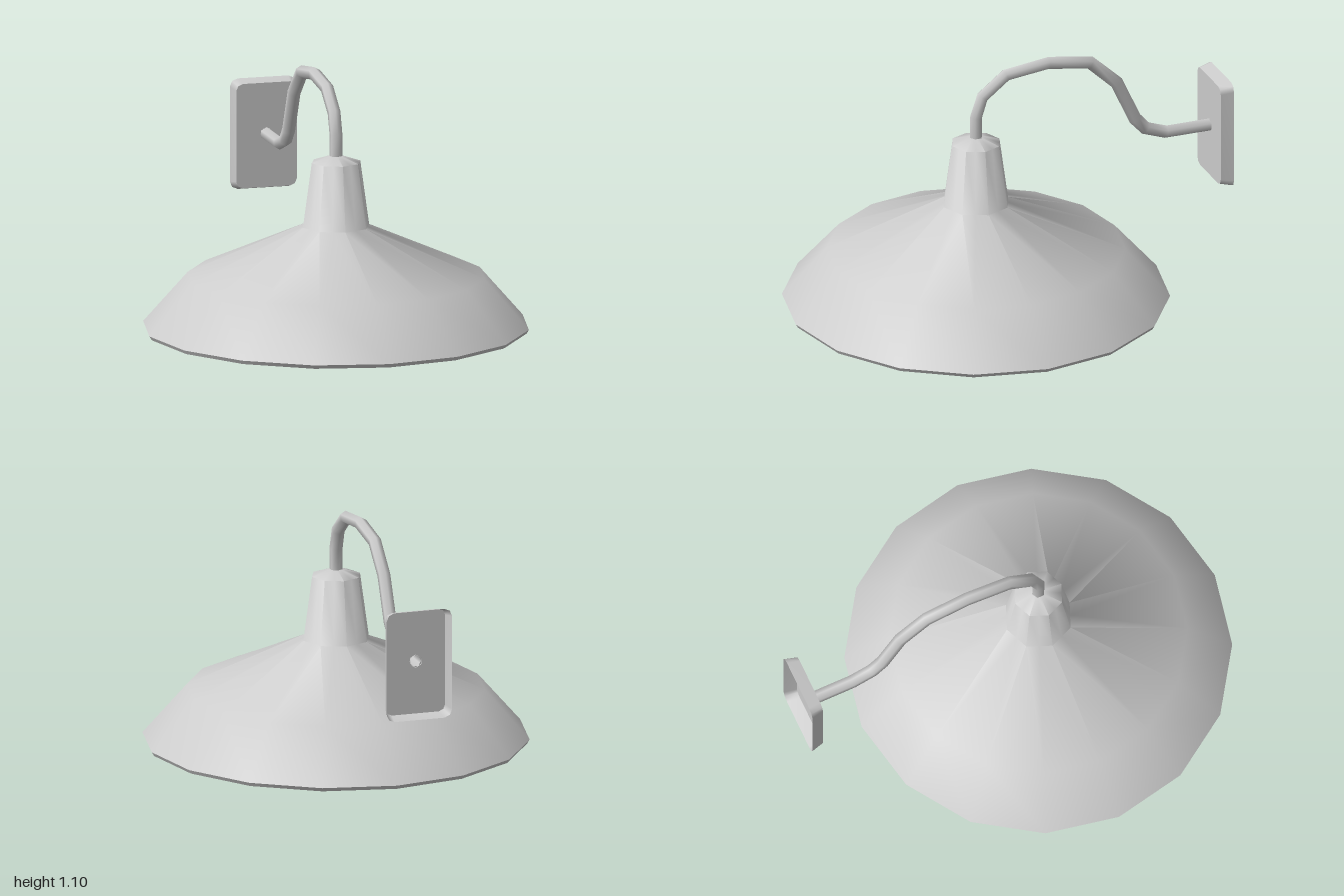
import * as THREE from 'three';
import { mergeVertices, toCreasedNormals } from 'three/addons/utils/BufferGeometryUtils.js';

const material = new THREE.MeshStandardMaterial({ color: 0xcccccc, side: THREE.DoubleSide });
const SHADE_Z = 0.15;

function addMesh(parent, name, geometry) {
  const mesh = new THREE.Mesh(geometry, material);
  mesh.name = name;
  parent.add(mesh);
  return mesh;
}

// Lathe with welded seam and smooth normals, creased above the given angle
function lathe(profile, sides, crease, reshape) {
  let g = new THREE.LatheGeometry(profile.map(([r, y]) => new THREE.Vector2(r, y)), sides);
  if (reshape) reshape(g.attributes.position, profile.length);
  g.deleteAttribute('uv');
  g.deleteAttribute('normal');
  g = mergeVertices(g, 1e-4);
  return toCreasedNormals(g, crease);
}

// Curve that keeps the exact corners of a polyline when swept
class Polyline extends THREE.Curve {
  constructor(points) {
    super();
    this.points = points;
  }
  getPointAt(u, target = new THREE.Vector3()) {
    return target.copy(this.points[Math.round(u * (this.points.length - 1))]);
  }
  getTangentAt(u, target = new THREE.Vector3()) {
    const p = this.points, n = p.length - 1, i = Math.round(u * n);
    target.set(0, 0, 0);
    if (i > 0) target.add(p[i].clone().sub(p[i - 1]).normalize());
    if (i < n) target.add(p[i + 1].clone().sub(p[i]).normalize());
    return target.normalize();
  }
}

// Rectangle with cut corners, counter-clockwise
function cutRectangle(hw, hh, c) {
  return [
    [hw - c, -hh], [hw - c * 0.3, -hh + c * 0.3], [hw, -hh + c],
    [hw, hh - c], [hw - c * 0.3, hh - c * 0.3], [hw - c, hh],
    [-hw + c, hh], [-hw + c * 0.3, hh - c * 0.3], [-hw, hh - c],
    [-hw, -hh + c], [-hw + c * 0.3, -hh + c * 0.3], [-hw + c, -hh],
  ].map(([x, y]) => new THREE.Vector2(x, y));
}

export function createModel() {
  const lamp = new THREE.Group();
  lamp.name = 'wallLamp';

  // Shade: inner skin down, round the rim, outer skin up to the neck cap.
  // The rim has sixteen sides; the neck is flattened to eight.
  const shadeProfile = [
    [0, 0.745], [0.095, 0.72], [0.135, 0.45], [0.64, 0.225], [0.835, 0],
    [0.845, 0.017], [0.65, 0.24], [0.15, 0.46], [0.11, 0.745], [0.03, 0.772], [0, 0.772],
  ];
  const flatten = Math.cos(Math.PI / 8);
  const shade = lathe(shadeProfile, 16, 1.1, (pos, rows) => {
    for (let i = 0; i < pos.count; i++) {
      const x = pos.getX(i), z = pos.getZ(i);
      if (Math.floor(i / rows) % 2 === 1 && Math.hypot(x, z) < 0.2) {
        pos.setX(i, x * flatten);
        pos.setZ(i, z * flatten);
      }
    }
  });
  addMesh(lamp, 'shade', shade).position.z = SHADE_Z;

  // Bulb and its socket stem
  const bulb = lathe([
    [0, 0.085], [0.06, 0.1], [0.105, 0.15], [0.118, 0.21], [0.1, 0.28],
    [0.07, 0.35], [0.067, 0.39], [0.085, 0.45], [0.085, 0.7],
  ], 8, 1.1);
  addMesh(lamp, 'bulb', bulb).position.z = SHADE_Z;

  // Gooseneck arm from the neck cap to the wall plate
  const path = [
    [0.76, 0.15], [0.865, 0.15], [0.957, 0.12], [1.043, 0.01], [1.068, -0.19], [1.037, -0.385],
    [0.92, -0.51], [0.735, -0.595], [0.68, -0.645], [0.647, -0.74], [0.647, -0.95],
  ].map(([y, z]) => new THREE.Vector3(0, y, z));
  addMesh(lamp, 'arm', new THREE.TubeGeometry(new Polyline(path), path.length - 1, 0.029, 6));

  // Wall plate: front panel with a hole for the arm, flared walls, open back
  const plate = new THREE.Group();
  plate.name = 'wallPlate';
  plate.position.set(0, 0.642, 0);
  lamp.add(plate);

  const front = cutRectangle(0.137, 0.232, 0.03);
  const back = cutRectangle(0.15, 0.246, 0.035);
  const panelShape = new THREE.Shape(front);
  const hole = [];
  for (let i = 0; i < 6; i++) {
    const a = -i * Math.PI / 3;
    hole.push(new THREE.Vector2(0.027 * Math.cos(a), 0.005 + 0.027 * Math.sin(a)));
  }
  panelShape.holes.push(new THREE.Path(hole));
  addMesh(plate, 'platePanel', new THREE.ShapeGeometry(panelShape)).position.z = -0.943;

  const positions = [], index = [], n = front.length;
  for (let i = 0; i < n; i++) {
    positions.push(front[i].x, front[i].y, -0.943, back[i].x, back[i].y, -1);
    const a = 2 * i, b = 2 * ((i + 1) % n);
    index.push(a, a + 1, b, b, a + 1, b + 1);
  }
  const walls = new THREE.BufferGeometry();
  walls.setAttribute('position', new THREE.Float32BufferAttribute(positions, 3));
  walls.setIndex(index);
  walls.computeVertexNormals();
  addMesh(plate, 'plateWalls', walls);

  return lamp;
}
